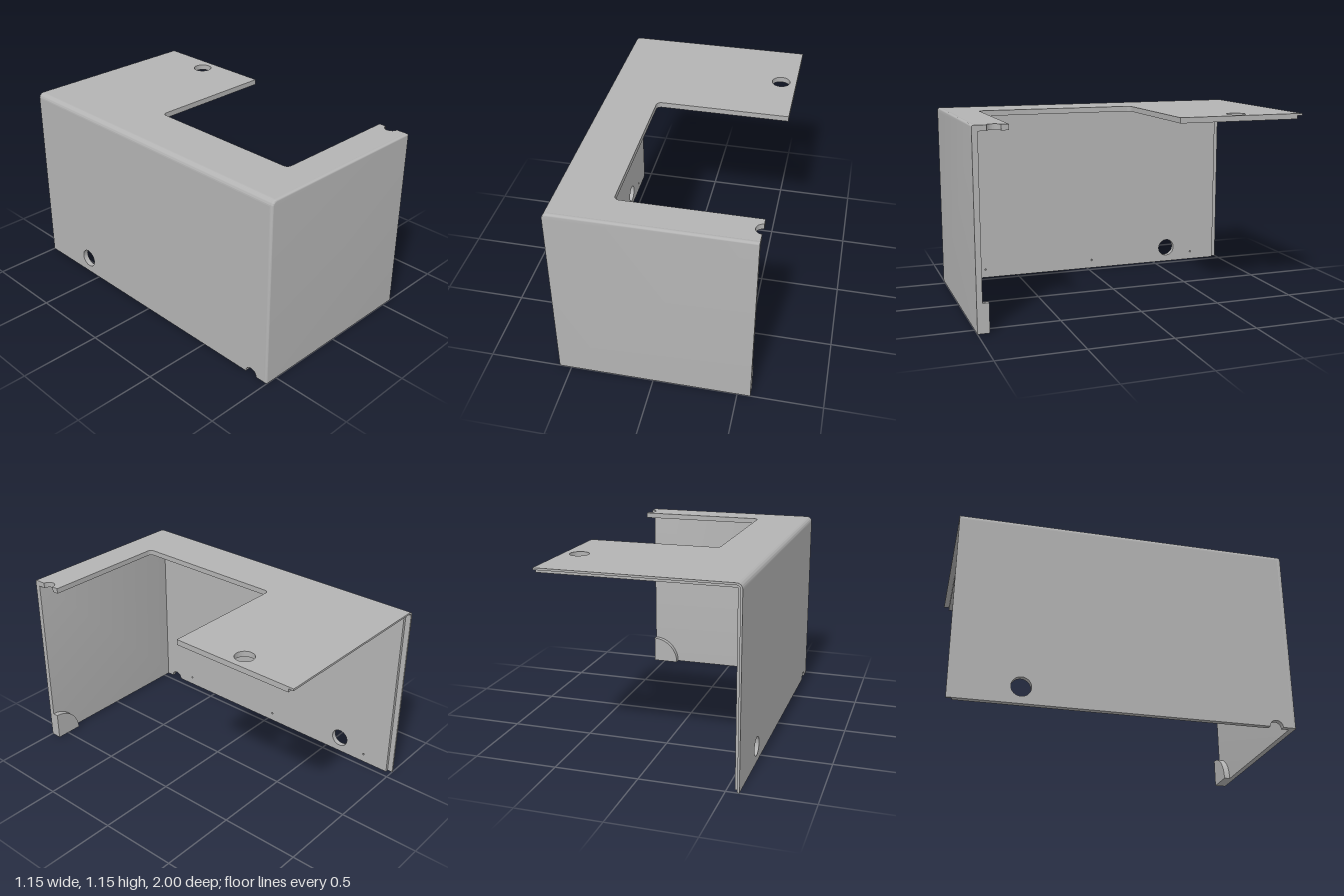
import * as THREE from 'three';
import { toCreasedNormals } from 'three/addons/utils/BufferGeometryUtils.js';

const W = 0.577, H = 1.155, T = 0.033; // half width, height, wall thickness
const SKIN = 0.012, CORE = T - SKIN;   // outer skin and inner core of each panel
const BACK = -1, STEP = -0.967;        // skin runs to the back, core stops short as a rebate
const FRONT = 0.98;                    // panels end inside the front wall
const PI = Math.PI;

const extrude = (shape, depth, extra = {}) =>
  new THREE.ExtrudeGeometry(shape, { depth, bevelEnabled: false, curveSegments: 24, ...extra });

const addHole = (shape, x, y, r) =>
  shape.holes.push(new THREE.Path().absarc(x, y, r, 0, PI * 2, true));

// Top outline in x, -z: rounded cutout, half-round notch and cable hole
function topShape(back) {
  const s = new THREE.Shape();
  s.moveTo(-W + T, -FRONT);
  s.lineTo(W, -FRONT);
  s.lineTo(W, -0.92);
  s.absarc(W, -0.88, 0.04, -PI / 2, -PI * 1.5, true);
  s.lineTo(W, -0.797);
  s.lineTo(-0.207, -0.797);
  s.absarc(-0.207, -0.767, 0.03, -PI / 2, -PI, true);
  s.lineTo(-0.237, 0.173);
  s.absarc(-0.207, 0.173, 0.03, PI, PI / 2, true);
  s.lineTo(W, 0.203);
  s.lineTo(W, -back);
  s.lineTo(-W + T, -back);
  addHole(s, 0.48, 0.605, 0.057);
  return s;
}

// Side outline in z, y: half-round notch at the floor and cable hole
function sideShape(back) {
  const s = new THREE.Shape();
  s.moveTo(back, 0);
  s.lineTo(0.84, 0);
  s.absarc(0.88, 0, 0.04, PI, 0, true);
  s.lineTo(FRONT, 0);
  s.lineTo(FRONT, H - T);
  s.lineTo(back, H - T);
  addHole(s, -0.6, 0.1, 0.057);
  return s;
}

// Quarter ring between two radii in the upper-left quadrant
function quarter(cx, cy, outer, inner) {
  const s = new THREE.Shape();
  s.absarc(cx, cy, outer, PI / 2, PI, false);
  if (inner > 0) s.absarc(cx, cy, inner, PI, PI / 2, true);
  else s.lineTo(cx, cy);
  return s;
}

// Front wall with one round corner and a softened front edge along top and side
function frontGeometry() {
  const b = 0.01, s = new THREE.Shape();
  s.moveTo(-W, 0);
  s.lineTo(W, 0);
  s.lineTo(W, H);
  s.lineTo(-W + T, H);
  s.absarc(-W + T, H - T, T, PI / 2, PI, false);
  const g = extrude(s, T - 2 * b, {
    bevelEnabled: true, bevelThickness: b, bevelSize: b, bevelOffset: -b, bevelSegments: 4, curveSegments: 10,
  });
  // Keep the floor edge and the free edge square
  const p = g.attributes.position;
  for (let i = 0; i < p.count; i++) {
    if (p.getX(i) > W - 0.02) p.setX(i, W);
    if (p.getY(i) < 0.02) p.setY(i, 0);
  }
  return g.translate(0, 0, 1 - T + b);
}

export function createModel() {
  const group = new THREE.Group();
  const grey = new THREE.MeshStandardMaterial({ color: 0xb3b3b3 });
  grey.name = 'plain grey';
  const add = (name, geometry) => {
    const mesh = new THREE.Mesh(toCreasedNormals(geometry, 0.6), grey);
    mesh.name = name;
    group.add(mesh);
  };

  add('frontWall', frontGeometry());

  // Top panel
  add('topSkin', extrude(topShape(BACK), SKIN).rotateX(-PI / 2).translate(0, H - SKIN, 0));
  add('topCore', extrude(topShape(STEP), CORE).rotateX(-PI / 2).translate(0, H - T, 0));

  // Side panel, with blind pin holes on the inside
  const core = sideShape(STEP);
  for (const z of [0.72, -0.035, -0.79]) addHole(core, z, 0.055, 0.006);
  add('sideSkin', extrude(sideShape(BACK), SKIN).rotateY(-PI / 2).translate(-W + SKIN, 0, 0));
  add('sideCore', extrude(core, CORE).rotateY(-PI / 2).translate(-W + T, 0, 0));

  // Rounded edge joining top and side
  const cx = -W + T, cy = H - T;
  add('edgeSkin', extrude(quarter(cx, cy, T, CORE), FRONT - BACK).translate(0, 0, BACK));
  add('edgeCore', extrude(quarter(cx, cy, CORE, 0), FRONT - STEP).translate(0, 0, STEP));

  // Quarter-round pad inside the free lower corner of the front wall
  add('cornerPad', extrude(quarter(W, 0, 0.175, 0), 0.037).translate(0, 0, 0.93));

  return group;
}
